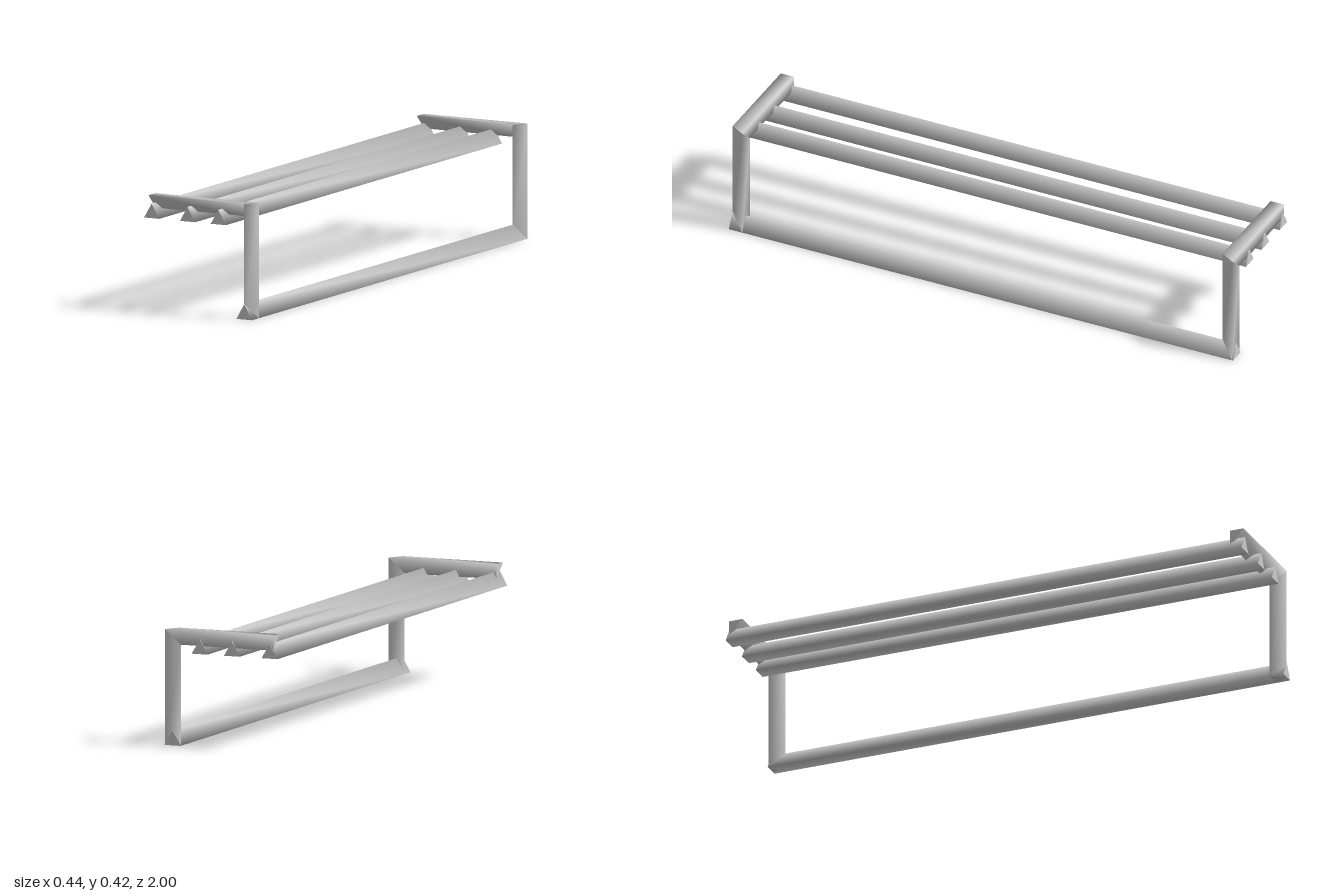
import * as THREE from 'three';

const material = new THREE.MeshStandardMaterial({ color: 0xcccccc, side: THREE.DoubleSide });

// Three-sided bar between triangles a and b: smooth sides, flat caps
function bar(name, a, b, capA = true, capB = true) {
  const points = [...a, ...b];
  const index = [];
  for (let i = 0; i < 3; i++) {
    const j = (i + 1) % 3;
    index.push(i, j, j + 3, i, j + 3, i + 3);
  }
  const addCap = (corners) => {
    const n = points.length;
    points.push(...corners);
    index.push(n, n + 1, n + 2);
  };
  if (capA) addCap([a[0], a[2], a[1]]);
  if (capB) addCap(b);
  const geometry = new THREE.BufferGeometry();
  geometry.setAttribute('position', new THREE.Float32BufferAttribute(points.flat(), 3));
  geometry.setIndex(index);
  geometry.computeVertexNormals();
  const mesh = new THREE.Mesh(geometry, material);
  mesh.name = name;
  return mesh;
}

// Long rail along z, apex up
function rail(name, x, y, height) {
  const section = (z) => [[x - 0.031, y, z], [x + 0.031, y, z], [x, y + height, z]];
  return bar(name, section(-1), section(1));
}

// Upright post mitred into a horizontal arm; the ridge faces +z
function bracket(name, z) {
  const back = z - 0.053;
  const foot = [[0.158, 0, back], [0.188, 0, z], [0.22, 0, back]];
  const mitre = [[0.158, 0.364, back], [0.188, 0.417, z], [0.22, 0.417, back]];
  const tip = mitre.map(([, y, pz]) => [-0.203, y, pz]);
  const group = new THREE.Group();
  group.name = name;
  group.add(bar('post', foot, mitre, true, false), bar('arm', mitre, tip, false, true));
  return group;
}

export function createModel() {
  const model = new THREE.Group();
  model.name = 'wallRack';

  // Shelf rails under the arms
  [-0.19, -0.043, 0.083].forEach((x, i) => model.add(rail(`shelfRail${i + 1}`, x, 0.335, 0.053)));

  // Rail joining the feet of the posts
  model.add(rail('bottomRail', 0.189, 0, 0.056));

  // End brackets, both facing the same way
  model.add(bracket('frontBracket', 1), bracket('backBracket', -0.943));
  return model;
}
